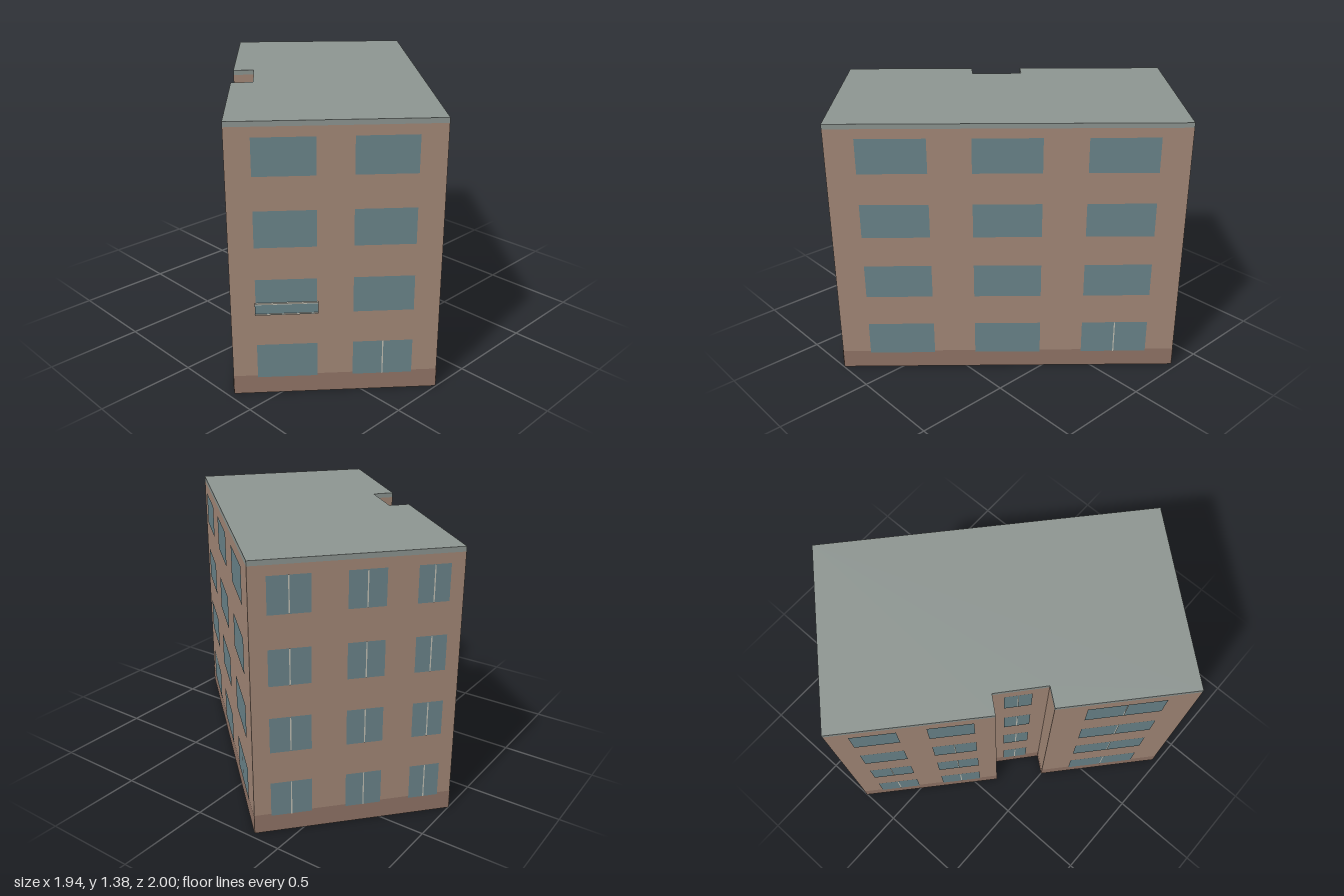
import * as THREE from 'three';

const paint = (color) => new THREE.MeshStandardMaterial({ color, side: THREE.DoubleSide });

export function createModel() {
  const brick = paint(0xa58a79), plinth = paint(0x937668), slate = paint(0x8f9793);
  const glass = paint(0x6c868c), trim = paint(0xc4c2b6);
  const EAVES = 1.36, TOP = 1.385, PLINTH = 0.1;
  const floors = [0.09, 0.438, 0.783, 1.13], WINDOW_H = 0.182;

  const model = new THREE.Group();
  model.name = 'apartmentBlock';

  // Footprint corners (x, z), running round the building with the outside on the +z side of each run
  const corners = [
    [-0.97, 0.345], [-0.215, 0.995], [0.97, -0.335], [0.225, -1.0],
    [-0.315, -0.395], [-0.23, -0.325], [-0.41, -0.115], [-0.5, -0.185],
  ];

  // One entry per wall: window spans as fractions of the wall, and which floors have mullions
  const all = [0, 1, 2, 3];
  const facades = [
    { name: 'gableWall', windows: [[0.119, 0.41, []], [0.583, 0.874, [0]]] },
    { name: 'longWall', windows: [[0.084, 0.278, []], [0.4, 0.595, []], [0.72, 0.915, [0]]] },
    { name: 'rearGableWall', windows: [[0.083, 0.284, all], [0.453, 0.632, all], [0.779, 0.931, all]] },
    { name: 'rearWall', windows: [[0.136, 0.415, [0, 1]], [0.593, 0.873, [0, 1, 2]]] },
    { name: 'recessSideA', windows: [] },
    { name: 'recessWall', windows: [[0.21, 0.71, all]] },
    { name: 'recessSideB', windows: [] },
    { name: 'rearWingWall', windows: [[0.23, 0.78, all]] },
  ];

  // Upright rectangle in a wall's own frame: x along the wall, z outward
  function panel(parent, name, material, x0, x1, y0, y1, z) {
    const mesh = new THREE.Mesh(new THREE.PlaneGeometry(x1 - x0, y1 - y0), material);
    mesh.position.set((x0 + x1) / 2, (y0 + y1) / 2, z);
    mesh.name = name;
    parent.add(mesh);
  }

  function bar(parent, name, material, x0, x1, y0, y1, depth, z) {
    const mesh = new THREE.Mesh(new THREE.BoxGeometry(x1 - x0, y1 - y0, depth), material);
    mesh.position.set((x0 + x1) / 2, (y0 + y1) / 2, z);
    mesh.name = name;
    parent.add(mesh);
  }

  facades.forEach((facade, i) => {
    const [px, pz] = corners[i];
    const [qx, qz] = corners[(i + 1) % corners.length];
    const length = Math.hypot(qx - px, qz - pz);
    const wall = new THREE.Group();
    wall.name = facade.name;
    wall.position.set(px, 0, pz);
    wall.rotation.y = Math.atan2(-(qz - pz), qx - px);
    model.add(wall);

    panel(wall, 'wall', brick, 0, length, 0, EAVES, 0);
    panel(wall, 'plinth', plinth, 0, length, 0, PLINTH, 0.002);
    panel(wall, 'fascia', slate, 0, length, EAVES, TOP, 0);

    for (const [t0, t1, mullions] of facade.windows) {
      const x0 = t0 * length, x1 = t1 * length, mid = (x0 + x1) / 2;
      floors.forEach((y, floor) => {
        panel(wall, 'window', glass, x0, x1, y, y + WINDOW_H, 0.004);
        if (mullions.includes(floor)) {
          panel(wall, 'mullion', trim, mid - 0.003, mid + 0.003, y, y + WINDOW_H, 0.006);
        }
      });
    }

    // Shallow glazed balustrade in front of one first-floor window
    if (i === 0) {
      const x0 = 0.115 * length, x1 = 0.415 * length;
      const balcony = new THREE.Group();
      balcony.name = 'balcony';
      panel(balcony, 'balconyPanel', glass, x0, x1, 0.442, 0.495, 0.01);
      bar(balcony, 'topRail', trim, x0, x1, 0.493, 0.499, 0.01, 0.009);
      bar(balcony, 'bottomRail', trim, x0, x1, 0.438, 0.444, 0.01, 0.009);
      wall.add(balcony);
    }
  });

  // Flat roof following the footprint
  const outline = new THREE.Shape(corners.map(([x, z]) => new THREE.Vector2(x, -z)));
  const roof = new THREE.Mesh(new THREE.ShapeGeometry(outline).rotateX(-Math.PI / 2), slate);
  roof.position.y = TOP;
  roof.name = 'roof';
  model.add(roof);

  return model;
}
